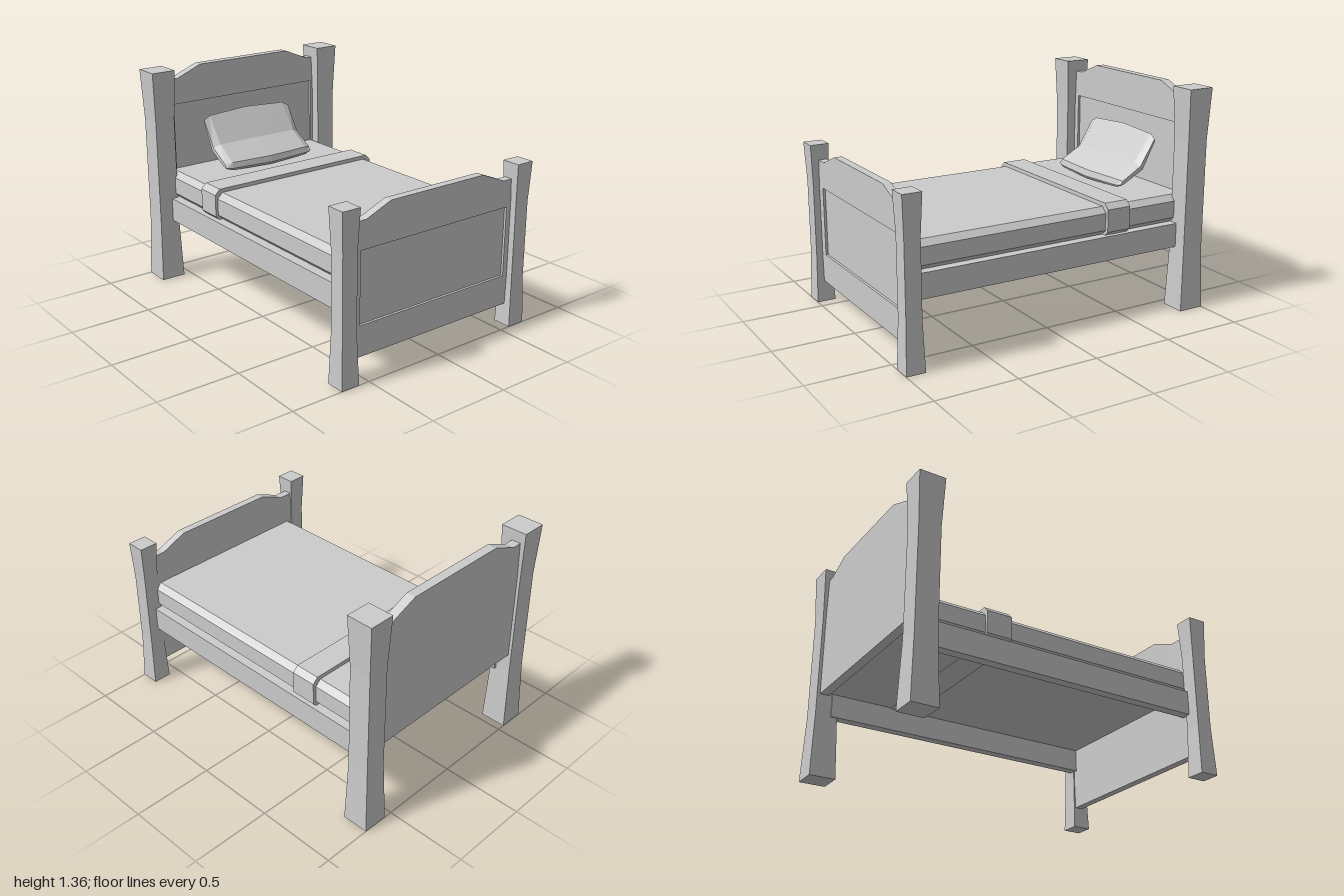
import * as THREE from 'three';

const material = new THREE.MeshStandardMaterial({ color: 0xcccccc, flatShading: true });

function part(name, geometry, x = 0, y = 0, z = 0) {
  const mesh = new THREE.Mesh(geometry, material);
  mesh.name = name;
  mesh.position.set(x, y, z);
  return mesh;
}

// Square post, flared at both ends; rows run from foot to top
function postGeometry(rows) {
  const g = new THREE.BoxGeometry(1, rows.length - 1, 1, 1, rows.length - 1, 1);
  const p = g.attributes.position;
  for (let i = 0; i < p.count; i++) {
    const [y, w, d] = rows[Math.round(p.getY(i) + (rows.length - 1) / 2)];
    p.setXYZ(i, p.getX(i) * w, y, p.getZ(i) * d);
  }
  g.computeVertexNormals();
  return g;
}

function shape(points) {
  return new THREE.Shape(points.map(([x, y]) => new THREE.Vector2(x, y)));
}

function extrude(s, depth) {
  return new THREE.ExtrudeGeometry(s, { depth, bevelEnabled: false });
}

// End board with a raised frame round a sunken panel, bottom edge at y = 0
function board(name, y, z, depth) {
  const outline = [[-0.6, 0], [0.6, 0], [0.6, 0.772], [0.51, 0.772], [0.345, 0.84],
    [-0.325, 0.84], [-0.49, 0.772], [-0.6, 0.772]];
  const frame = shape(outline);
  frame.holes.push(new THREE.Path(
    [[-0.525, 0.183], [-0.525, 0.608], [0.545, 0.608], [0.545, 0.183]]
      .map(([a, b]) => new THREE.Vector2(a, b))));
  const lip = 0.015;
  const group = new THREE.Group();
  group.name = name;
  group.add(
    part(name + 'Panel', extrude(shape(outline), depth - lip), 0, y, z),
    part(name + 'Frame', extrude(frame, lip), 0, y, z + depth - lip));
  return group;
}

// Slab with bevelled long edges, running along z
function bevelledSlab(w, y0, y1, bevel, length) {
  return extrude(shape([[-w + bevel, y0], [w - bevel, y0], [w, y0 + bevel], [w, y1 - bevel],
    [w - bevel, y1], [-w + bevel, y1], [-w, y1 - bevel], [-w, y0 + bevel]]), length);
}

// Bent pillow: one side profile [z, y], thinned and shortened towards the ends
function pillowGeometry() {
  const profile = [[-0.607, 0.725], [-0.617, 0.765], [-0.765, 0.858], [-0.898, 1.036],
    [-0.912, 0.99], [-0.825, 0.785], [-0.66, 0.704], [-0.618, 0.708]];
  // x, thickness, length
  const stations = [[-0.325, 0.3, 0.86], [-0.28, 0.85, 0.93], [0.005, 1, 1],
    [0.29, 0.85, 0.93], [0.335, 0.3, 0.86]];
  const rings = stations.map(([x, thick, len]) => profile.map(([z, y], i) => {
    const [oz, oy] = profile[7 - i];
    const mz = (z + oz) / 2, my = (y + oy) / 2;
    return [x,
      0.85 + (my - 0.85) * len + (y - my) * thick,
      -0.77 + (mz + 0.77) * len + (z - mz) * thick];
  }));
  const out = [];
  const quad = (a, b, c, d) => out.push(...a, ...b, ...c, ...a, ...c, ...d);
  for (let j = 0; j < rings.length - 1; j++) {
    for (let i = 0; i < 8; i++) {
      const k = (i + 1) % 8;
      quad(rings[j][i], rings[j + 1][i], rings[j + 1][k], rings[j][k]);
    }
  }
  const a = rings[0], b = rings[rings.length - 1];
  for (let i = 0; i < 3; i++) {
    quad(a[i], a[i + 1], a[6 - i], a[7 - i]);
    quad(b[7 - i], b[6 - i], b[i + 1], b[i]);
  }
  const g = new THREE.BufferGeometry();
  g.setAttribute('position', new THREE.Float32BufferAttribute(out, 3));
  g.computeVertexNormals();
  return g;
}

export function createModel() {
  const bed = new THREE.Group();
  bed.name = 'bed';

  // Posts and side rails, mirrored left and right
  const headPost = postGeometry([[0, 0.156, 0.163], [0.4, 0.13, 0.137],
    [1.05, 0.13, 0.137], [1.363, 0.156, 0.163]]);
  const footPost = postGeometry([[0, 0.116, 0.116], [0.3, 0.096, 0.096],
    [0.76, 0.096, 0.096], [1, 0.116, 0.116]]);
  for (const [side, s] of [['left', 1], ['right', -1]]) {
    bed.add(
      part(side + 'HeadPost', headPost, s * 0.627, 0, -0.918),
      part(side + 'FootPost', footPost, s * 0.626, 0, 0.942),
      part(side + 'Rail', new THREE.BoxGeometry(0.06, 0.148, 1.8),
        0.005 + s * 0.579, 0.461, 0.01));
  }

  // End boards
  bed.add(board('headboard', 0.52, -0.967, 0.057), board('footboard', 0.132, 0.9, 0.05));

  // Bedding
  bed.add(
    part('mattress', bevelledSlab(0.581, 0.53, 0.703, 0.035, 1.812), 0.006, 0, -0.911),
    part('blanketFold', bevelledSlab(0.6, 0.525, 0.727, 0.033, 0.157), 0.008, 0, -0.5),
    part('pillow', pillowGeometry()));

  return bed;
}
